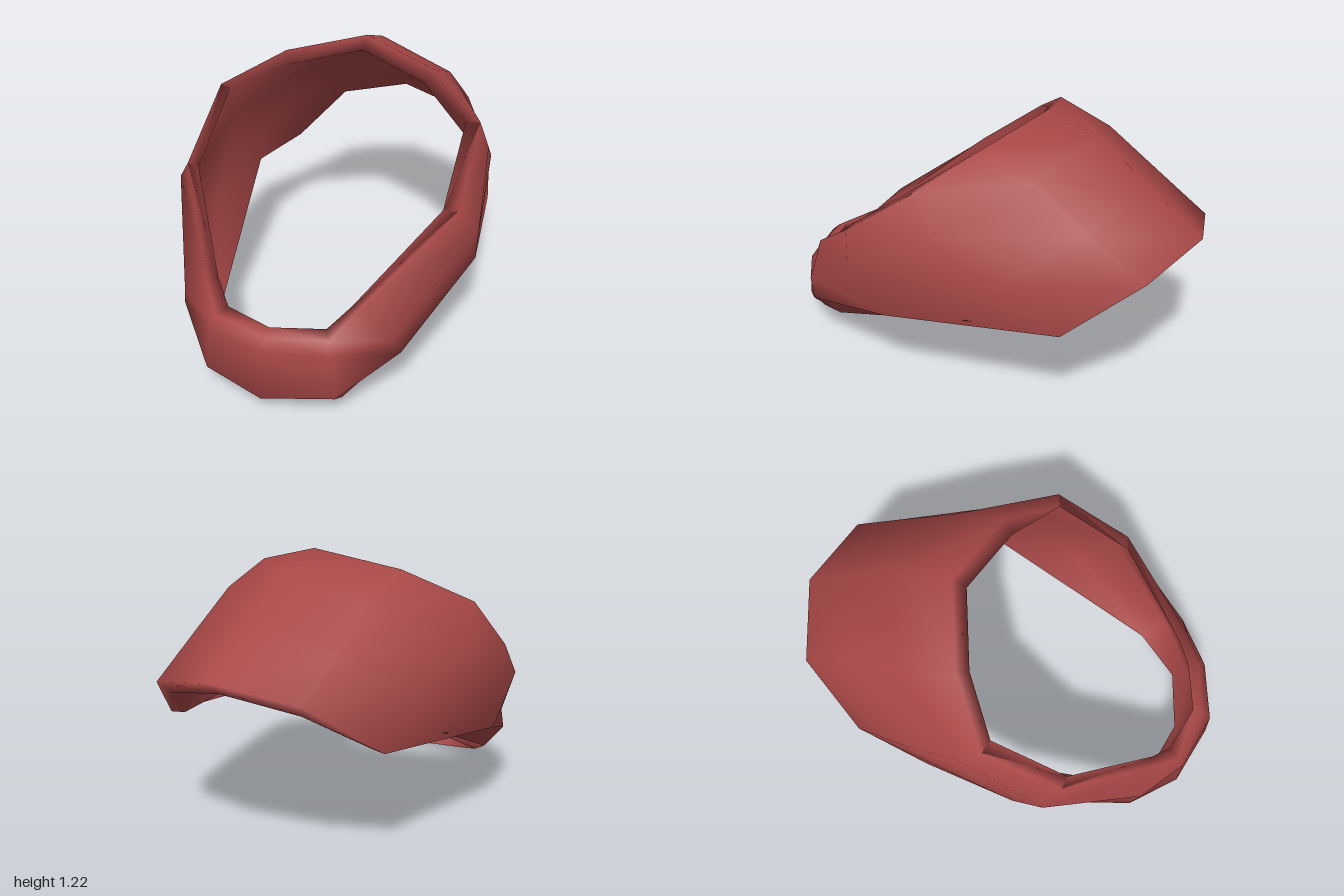
import * as THREE from 'three';

// Half of the band, from the middle of the back round to the middle of the front.
// Each station: upper rim, upper wall, lower wall, lower rim, then the inward step to the inner face.
const HALF = [
  [[0, 1.22, -0.28], [0, 1.14, -0.51], [0, 0.96, -0.755], [0, 0.78, -1], [0, -0.055, 0.06]],
  [[0.36, 1.14, -0.16], [0.37, 1.04, -0.41], [0.37, 0.87, -0.66], [0.36, 0.715, -0.9], [-0.035, -0.05, 0.045]],
  [[0.62, 1.0, 0.02], [0.645, 0.84, -0.08], [0.605, 0.66, -0.37], [0.55, 0.49, -0.62], [-0.06, 0, 0.02]],
  [[0.625, 0.75, 0.37], [0.705, 0.64, 0.31], [0.67, 0.41, 0.16], [0.625, 0.49, -0.26], [-0.06, 0, 0.01]],
  [[0.34, 0.46, 0.77], [0.47, 0.32, 0.74], [0.5, 0.24, 0.7], [0.44, 0.155, 0.6], [-0.04, -0.015, -0.03]],
  [[0.25, 0.35, 0.87], [0.27, 0.3, 0.9], [0.29, 0.1, 0.91], [0.29, 0.045, 0.83], [-0.03, 0.015, -0.055]],
  [[0, 0.35, 0.935], [0, 0.31, 0.98], [0, 0.09, 1], [0, 0.005, 0.9], [0, 0.015, -0.05]],
];

// Closed cross-section: down the outside, back up the inside.
function section(station, side) {
  const outer = station.slice(0, 4);
  const step = station[4];
  const inner = outer.map((p) => p.map((v, i) => v + step[i])).reverse();
  return [...outer, ...inner].map(([x, y, z]) => [x * side, y, z]);
}

function loftLoop(sections) {
  const n = sections.length;
  const m = sections[0].length;
  const index = [];
  for (let s = 0; s < n; s++) {
    for (let k = 0; k < m; k++) {
      const t = (s + 1) % n;
      const j = (k + 1) % m;
      const a = s * m + k, b = t * m + k, c = t * m + j, d = s * m + j;
      // Mirror the diagonals on the second half so both sides match
      if (s < n / 2) index.push(a, b, d, b, c, d);
      else index.push(a, b, c, a, c, d);
    }
  }
  const geometry = new THREE.BufferGeometry();
  geometry.setAttribute('position', new THREE.Float32BufferAttribute(sections.flat(2), 3));
  geometry.setIndex(index);
  geometry.computeVertexNormals();
  return geometry;
}

export function createModel() {
  const group = new THREE.Group();
  group.name = 'tiltedBand';

  // Left half, then the mirrored right half without the shared end stations
  const left = HALF.map((s) => section(s, 1));
  const right = HALF.slice(1, -1).reverse().map((s) => section(s, -1));

  const material = new THREE.MeshStandardMaterial({ color: 0xa84747 });
  const band = new THREE.Mesh(loftLoop([...left, ...right]), material);
  band.name = 'band';
  group.add(band);
  return group;
}
